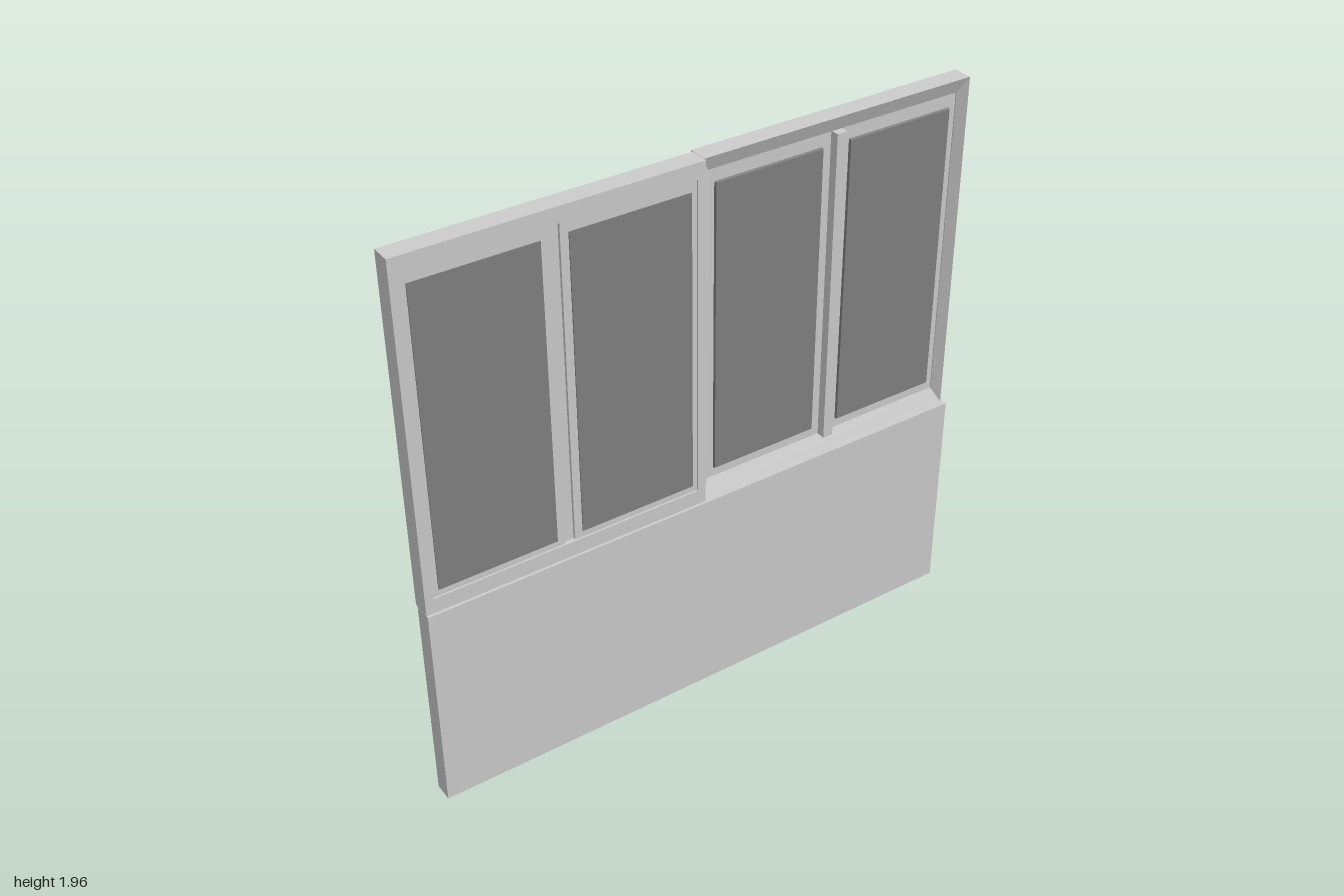
import * as THREE from 'three';

const grey = new THREE.MeshStandardMaterial({ color: 0xcccccc, flatShading: true });
const dark = new THREE.MeshStandardMaterial({ color: 0x808080, flatShading: true });

// Rectangular ring: each profile point is [halfWidth, halfHeight, z], mitred round
// four corners. Profile order: outer back, outer front, inner front, inner back.
function ringGeometry(profile) {
  const corners = [[1, 1], [-1, 1], [-1, -1], [1, -1]];
  const pos = [], index = [];
  const n = profile.length;
  for (const [sx, sy] of corners)
    for (const [hx, hy, z] of profile) pos.push(sx * hx, sy * hy, z);
  for (let c = 0; c < 4; c++) {
    for (let i = 0; i < n; i++) {
      const j = (i + 1) % n, d = ((c + 1) % 4) * n;
      const a = c * n + i, b = d + i, e = d + j, f = c * n + j;
      index.push(a, b, e, a, e, f);
    }
  }
  const g = new THREE.BufferGeometry();
  g.setAttribute('position', new THREE.Float32BufferAttribute(pos, 3));
  g.setIndex(index);
  const flat = g.toNonIndexed();
  flat.computeVertexNormals();
  return flat;
}

// Pane slab, a little smaller on its front than on its back
function paneGeometry(back, front, zBack, zFront) {
  const g = new THREE.BoxGeometry(2, 2, 2);
  const p = g.attributes.position;
  for (let i = 0; i < p.count; i++) {
    const isFront = p.getZ(i) > 0;
    const [hx, hy] = isFront ? front : back;
    p.setXYZ(i, p.getX(i) * hx, p.getY(i) * hy, isFront ? zFront : zBack);
  }
  g.computeVertexNormals();
  return g;
}

function add(parent, name, geometry, material, x = 0, y = 0, z = 0) {
  const m = new THREE.Mesh(geometry, material);
  m.name = name;
  m.position.set(x, y, z);
  parent.add(m);
}

function windowUnit(name, halfWidth) {
  const unit = new THREE.Group();
  unit.name = name;
  const hh = 0.602, ih = 0.549, iw = halfWidth - 0.028;

  // Outer frame: flat face behind, splayed reveal in front
  add(unit, 'outerFrame', ringGeometry([
    [halfWidth, hh, -0.0335], [halfWidth, hh, 0.0335],
    [iw, ih, 0.0095], [iw, ih, -0.0335],
  ]), grey);

  // Central post, set back on the flat side
  add(unit, 'mullion', new THREE.BoxGeometry(0.037, ih * 2, 0.055), grey, 0, 0, 0.0095);

  // Pair of sashes, each a rim holding a pane
  const sw = (iw - 0.0185) / 2, sh = ih - 0.001;
  for (const side of [-1, 1]) {
    const sash = new THREE.Group();
    sash.name = side < 0 ? 'rightSash' : 'leftSash';
    sash.position.x = side * (0.0185 + sw);
    add(sash, 'sashRim', ringGeometry([
      [sw, sh, -0.028], [sw, sh, 0.006],
      [0.19, 0.5, 0.006], [0.19, 0.5, -0.028],
    ]), grey);
    add(sash, 'pane', paneGeometry([0.203, 0.518], [0.194, 0.507], -0.0335, 0.015),
      dark, side * 0.003, -0.005);
    unit.add(sash);
  }
  return unit;
}

export function createModel() {
  const model = new THREE.Group();
  model.name = 'windowWall';

  // Solid lower wall
  add(model, 'lowerWall', new THREE.BoxGeometry(2, 0.755, 0.066), grey, 0, 0.3775, 0.0115);

  // Two window units, one turned to face the back
  const left = windowUnit('leftWindow', 0.496);
  left.position.set(0.495, 1.358, -0.0085);
  model.add(left);
  const right = windowUnit('rightWindow', 0.499);
  right.position.set(-0.501, 1.358, 0.0025);
  right.rotation.y = Math.PI;
  model.add(right);
  return model;
}
